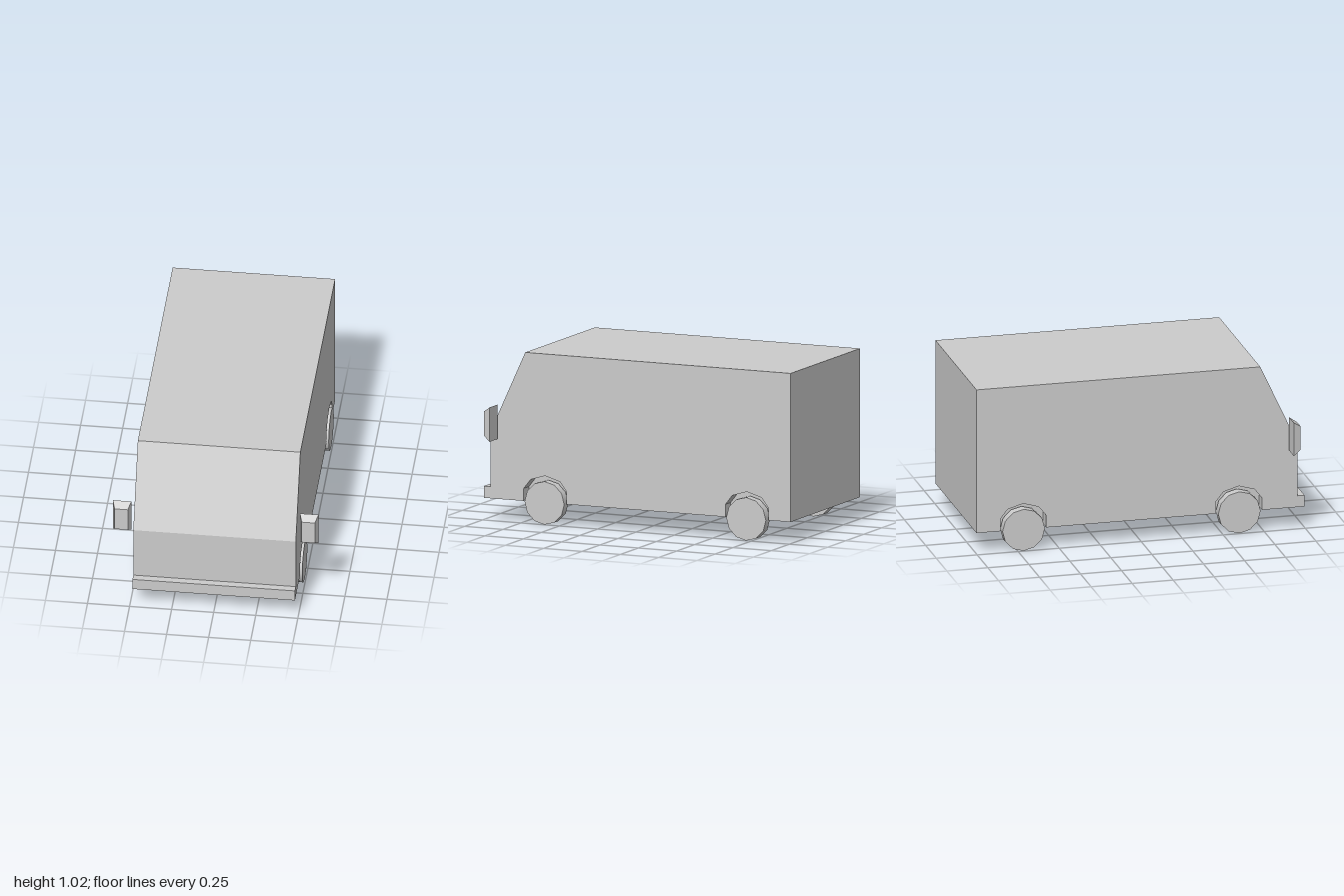
import * as THREE from 'three';

const HALF_WIDTH = 0.483;
const WELL_X = 0.41; // inner wall of the wheel wells
const FLOOR = 0.13;
const AXLES = [0.6, -0.715];

const grey = new THREE.MeshStandardMaterial({ color: 0xcccccc });
const greyFlat = new THREE.MeshStandardMaterial({ color: 0xcccccc, flatShading: true });

function addMesh(parent, name, geometry, material = greyFlat) {
  const mesh = new THREE.Mesh(geometry, material);
  mesh.name = name;
  parent.add(mesh);
  return mesh;
}

// Side outline of the van as [z, y] points, optionally notched by the wheel arches
function bodyProfile(withArches) {
  const points = [[0.957, FLOOR], [0.957, 0.53], [0.73, 1.02], [-1, 1.02], [-1, FLOOR]];
  if (withArches) {
    const arch = [[-0.14, FLOOR], [-0.14, 0.205], [-0.095, 0.262], [0, 0.29],
      [0.095, 0.262], [0.14, 0.205], [0.14, FLOOR]];
    for (const axle of [...AXLES].reverse()) {
      for (const [dz, y] of arch) points.push([axle + dz, y]);
    }
  }
  return new THREE.Shape(points.map(([z, y]) => new THREE.Vector2(z, y)));
}

// Extrudes a [z, y] outline across the van from x0 to x1
function extrudeAcross(shape, x0, x1) {
  const geometry = new THREE.ExtrudeGeometry(shape, { depth: x1 - x0, bevelEnabled: false });
  geometry.rotateY(-Math.PI / 2);
  geometry.translate(x1, 0, 0);
  return geometry;
}

// Box whose front face is inset and shifted to make a tapered mirror housing
function mirrorGeometry() {
  const geometry = new THREE.BoxGeometry(0.11, 0.206, 0.045);
  const position = geometry.attributes.position;
  for (let i = 0; i < position.count; i++) {
    if (position.getZ(i) > 0) {
      position.setX(i, Math.sign(position.getX(i)) * 0.039);
      position.setY(i, Math.sign(position.getY(i)) * 0.0735);
    }
  }
  geometry.computeVertexNormals();
  return geometry;
}

export function createModel() {
  const van = new THREE.Group();
  van.name = 'van';

  // Body: a plain core with a notched panel on each side
  const body = new THREE.Group();
  body.name = 'body';
  van.add(body);
  addMesh(body, 'bodyCore', extrudeAcross(bodyProfile(false), -WELL_X, WELL_X));
  addMesh(body, 'leftSide', extrudeAcross(bodyProfile(true), WELL_X, HALF_WIDTH));
  addMesh(body, 'rightSide', extrudeAcross(bodyProfile(true), -HALF_WIDTH, -WELL_X));

  // Front bumper
  const bumper = addMesh(van, 'frontBumper', new THREE.BoxGeometry(HALF_WIDTH * 2, 0.07, 0.043));
  bumper.position.set(0, FLOOR + 0.035, 0.9785);

  for (const side of [1, -1]) {
    const label = side > 0 ? 'left' : 'right';

    // Wheels
    AXLES.forEach((z, i) => {
      const geometry = new THREE.CylinderGeometry(0.129, 0.129, 0.058, 12);
      geometry.rotateZ(Math.PI / 2);
      const wheel = addMesh(van, label + (i ? 'RearWheel' : 'FrontWheel'), geometry, grey);
      wheel.position.set(side * 0.465, 0.129, z);
    });

    // Side mirrors
    const mirror = addMesh(van, label + 'Mirror', mirrorGeometry());
    mirror.position.set(side * 0.556, 0.595, 0.924);
  }

  return van;
}
